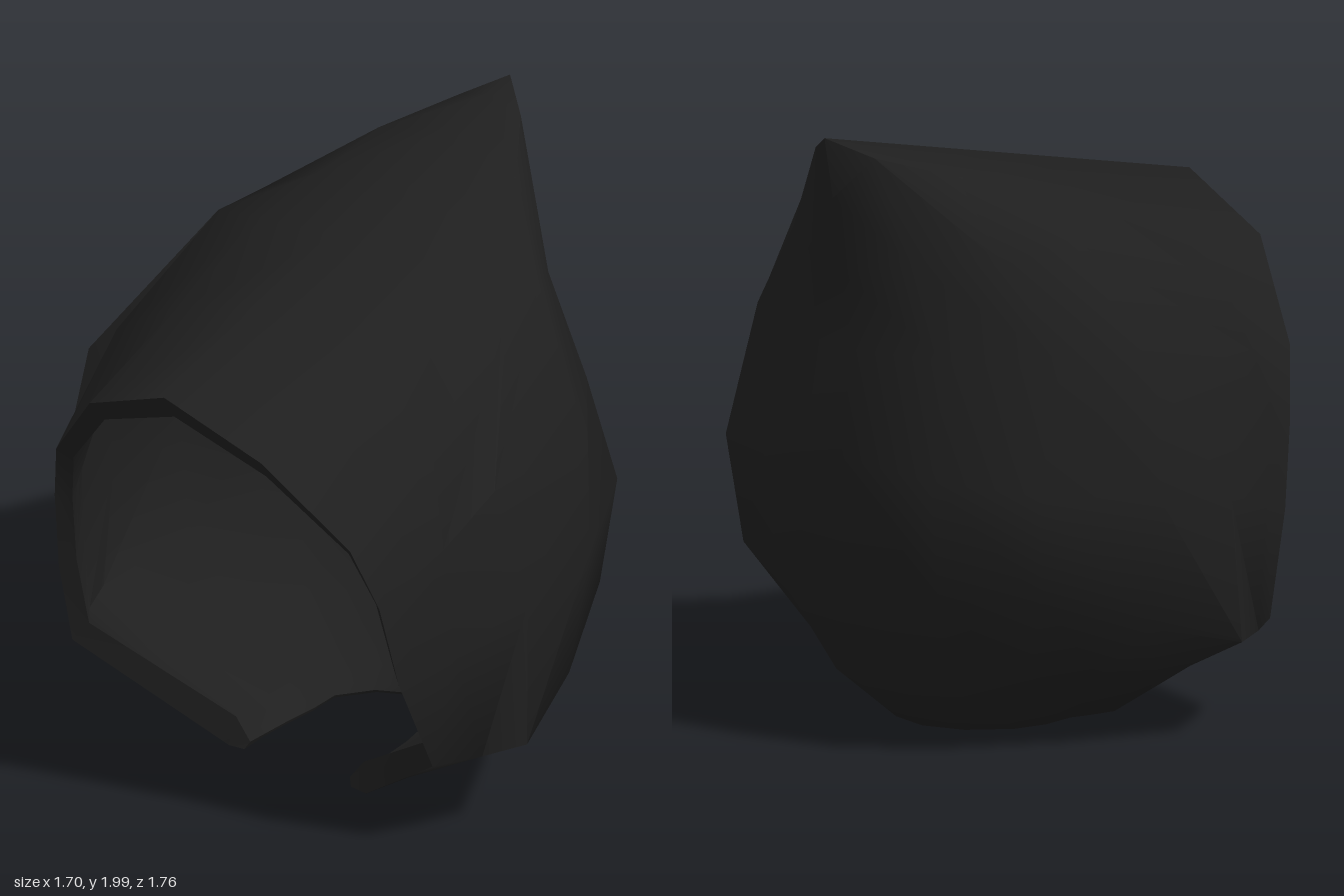
import * as THREE from 'three';
import { toCreasedNormals } from 'three/addons/utils/BufferGeometryUtils.js';

const V = (x, y, z) => new THREE.Vector3(x, y, z);
const mirror = (p) => V(-p.x, p.y, p.z);

// Straight top ridge, rising from the brow to the pointed tip at the back
const ridge = [0.88, 0.4, 0, -0.3, -0.58, -0.78, -0.88].map((z) => V(0, 1.79 - 0.2386 * z, z));

// Bands of the left half, each running from the face opening round to the centre back
const [crown, temple, brow, cheek, jaw, base, neck] = [
  [[.34, 1.43, .82], [.35, 1.58, .35], [.33, 1.73, -.05], [.3, 1.8, -.3], [.27, 1.86, -.56], [.12, 1.935, -.78], [0, 1.8, -.84]],
  [[.58, 1.14, .68], [.62, 1.4, .32], [.57, 1.65, -.13], [.54, 1.66, -.33], [.43, 1.59, -.52], [.2, 1.6, -.7], [0, 1.55, -.795]],
  [[.64, .93, .61], [.73, 1.08, .4], [.8, 1.24, .23], [.81, 1.24, -.23], [.62, 1.3, -.47], [.31, 1.29, -.66], [0, 1.3, -.75]],
  [[.67, .65, .55], [.75, .72, .37], [.83, .8, .1], [.82, .85, -.23], [.64, .9, -.6], [.34, .93, -.77], [0, .96, -.8]],
  [[.71, .33, .43], [.79, .33, .28], [.85, .33, .13], [.76, .42, -.2], [.61, .55, -.55], [.33, .53, -.72], [0, .52, -.78]],
  [[.27, .005, .2], [.26, .01, .1], [.26, .02, 0], [.26, .02, -.12], [.25, .03, -.26], [.14, .03, -.37], [0, .03, -.41]],
  [[.21, .01, .2], [.21, .015, .1], [.2, .02, 0], [.19, .02, -.12], [.18, .03, -.22], [.1, .03, -.33], [0, .03, -.38]],
].map((row) => row.map((p) => V(...p)));

// Rounded underside between jaw and base, fuller towards the back
const under = jaw.map((p, c) => p.clone().lerp(base[c], 0.5).add(V(0, -0.04 * Math.max(0, c - 3), 0)));

// Full bands: left half, then its mirror image back to the opening
const outer = [ridge, crown, temple, brow, cheek, jaw, under, base, neck]
  .map((row) => [...row, ...row.slice(0, -1).reverse().map(mirror)]);

// Lining: the shell drawn in, thickest at the face opening and thin at the neck
const inner = outer.map((row, r) => row.map((p, c) => {
  const fromOpening = Math.min(c, 12 - c);
  const t = fromOpening === 0 ? 1 : 0.5;
  const drop = r === 8 ? 0.25 : 1;
  return V(p.x * (1 - 0.065 * t), 0.85 + (p.y - 0.85) * (1 - 0.12 * t * drop), p.z * (1 - 0.06 * t));
}));

function buildGeometry(quads, crease) {
  const pos = [];
  for (const [a, b, c, d] of quads)
    for (const p of [a, b, d, b, c, d]) pos.push(p.x, p.y, p.z);
  const g = new THREE.BufferGeometry();
  g.setAttribute('position', new THREE.Float32BufferAttribute(pos, 3));
  g.computeVertexNormals();
  return toCreasedNormals(g, crease);
}

// Quads of a grid of bands, with folds mirrored on the right half; flip turns the faces inwards
function gridQuads(rows, flip) {
  const quads = [];
  for (let r = 0; r < rows.length - 1; r++)
    for (let c = 0; c < 12; c++) {
      let q = [rows[r][c], rows[r + 1][c], rows[r + 1][c + 1], rows[r][c + 1]];
      if (c >= 6) q = [q[1], q[2], q[3], q[0]];
      quads.push(flip ? [q[0], q[3], q[2], q[1]] : q);
    }
  return quads;
}

// Edge line down the left of the opening, round the neck notch and up the right
function edge(rows) {
  const last = rows.length - 1;
  return [
    ...rows.slice(0, last).map((row) => row[0]),
    ...rows[last],
    ...rows.slice(0, last).reverse().map((row) => row[row.length - 1]),
  ];
}

export function createModel() {
  const group = new THREE.Group();
  group.name = 'hood';
  const cloth = new THREE.MeshStandardMaterial({ color: 0x1f1f1f, side: THREE.DoubleSide });
  cloth.name = 'black cloth';

  const add = (name, geometry) => {
    const mesh = new THREE.Mesh(geometry, cloth);
    mesh.name = name;
    group.add(mesh);
  };

  add('outerHood', buildGeometry(gridQuads(outer, false), 1.1));
  add('lining', buildGeometry(gridQuads(inner, true), 1.1));

  // Hem joining the outside to the lining
  const o = edge(outer), i = edge(inner);
  add('hem', buildGeometry(o.slice(1).map((p, k) => [o[k], i[k], i[k + 1], p]), 0.6));
  return group;
}
